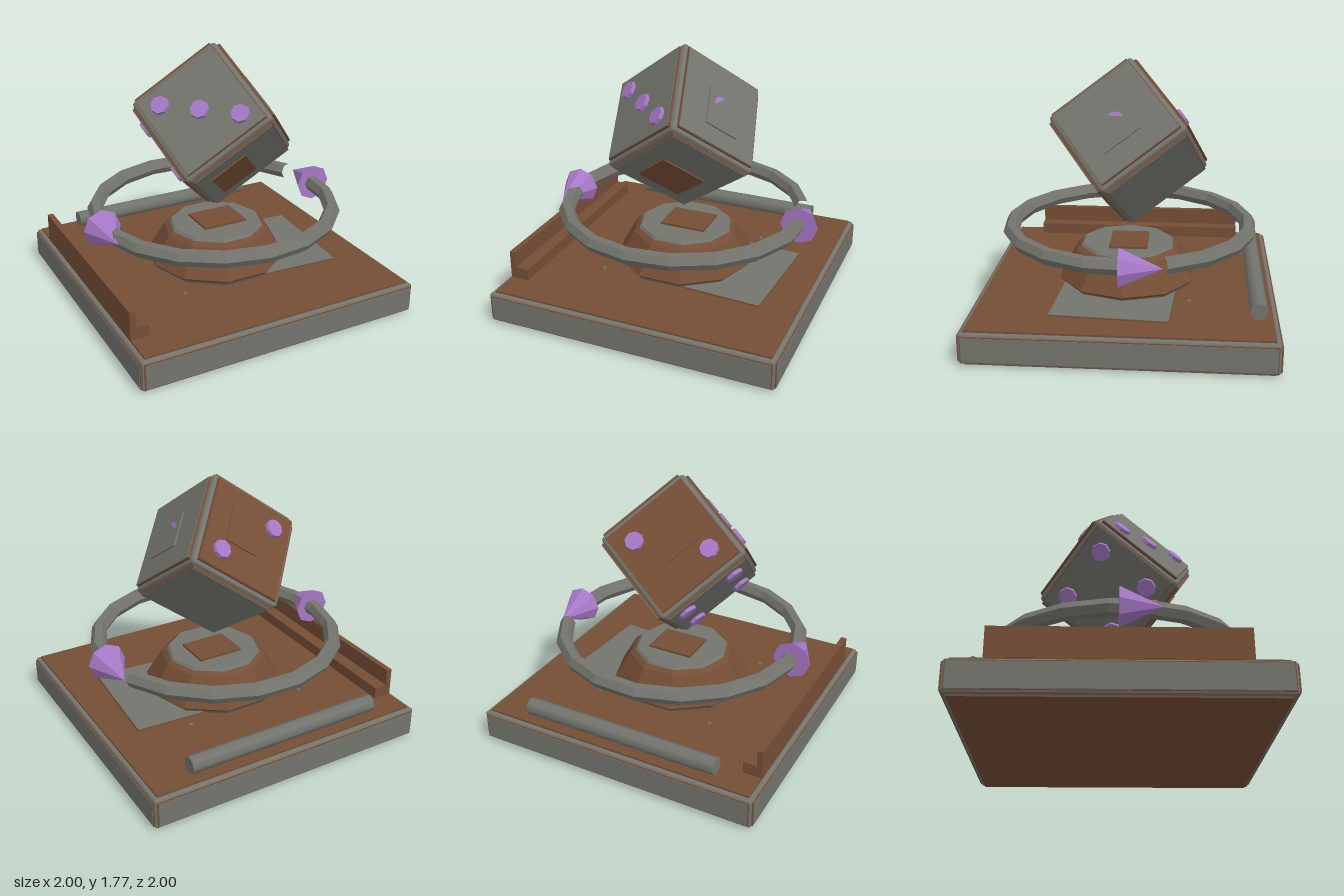
import * as THREE from 'three';
import { RoundedBoxGeometry } from 'three/addons/geometries/RoundedBoxGeometry.js';

const material = (name, color) => {
  const m = new THREE.MeshStandardMaterial({ color });
  m.name = name;
  return m;
};

// Faceted normals for the low-poly parts
function flat(geometry) {
  const g = geometry.index ? geometry.toNonIndexed() : geometry;
  g.computeVertexNormals();
  return g;
}

export function createModel() {
  const grey = material('stone grey', 0x73746d);
  const brown = material('rust brown', 0x754e36);
  const purple = material('purple', 0xa678c6);
  const model = new THREE.Group();

  function add(parent, name, geometry, mat, x = 0, y = 0, z = 0) {
    const mesh = new THREE.Mesh(geometry, mat);
    mesh.name = name;
    mesh.position.set(x, y, z);
    parent.add(mesh);
    return mesh;
  }

  // Point on a box face: axis and sign choose the face, u and v run across it
  function facePoint(axis, sign, u, v, dist) {
    const p = [u, v];
    p.splice(axis, 0, sign * dist);
    return p;
  }

  // Thin slab lying on a box face, from depth d0 to d1
  function slab(parent, name, mat, axis, sign, u, v, w, h, d0, d1) {
    const size = [w, h];
    size.splice(axis, 0, d1 - d0);
    add(parent, name, new THREE.BoxGeometry(...size), mat,
      ...facePoint(axis, sign, u, v, (d0 + d1) / 2));
  }

  // Base: bevelled block with a slab on each face
  const base = new THREE.Group();
  base.name = 'base';
  base.position.y = 0.115;
  model.add(base);
  add(base, 'baseBlock', flat(new RoundedBoxGeometry(1.98, 0.206, 1.98, 1, 0.018)), grey);
  for (const s of [-1, 1]) {
    slab(base, 'basePlate', brown, 1, s, 0, 0, 1.92, 1.92, 0.09, 0.115);
    slab(base, 'sideTrim', brown, 0, s, 0, 0, 0.175, 1.95, 0.97, 0.996);
    slab(base, 'sidePanel', grey, 0, s, 0, 0, 0.163, 1.938, 0.97, 1);
    slab(base, 'frontBackTrim', brown, 2, s, 0, 0, 1.95, 0.175, 0.97, 0.996);
    slab(base, 'frontBackPanel', grey, 2, s, 0, 0, 1.938, 0.163, 0.97, 1);
  }

  // Floor sheet, turned slightly
  const sheet = new THREE.Group();
  sheet.name = 'floorSheet';
  sheet.position.set(0.31, 0.23, 0.06);
  sheet.rotation.y = -0.06;
  model.add(sheet);
  add(sheet, 'sheetEdge', new THREE.BoxGeometry(0.86, 0.008, 0.78), brown, 0, 0.004, 0);
  add(sheet, 'sheetTop', new THREE.BoxGeometry(0.85, 0.004, 0.77), grey, 0, 0.008, 0);
  for (const x of [-0.43, 0.43]) for (const z of [-0.42, 0.42])
    add(model, 'screw', flat(new THREE.CylinderGeometry(0.013, 0.013, 0.014, 6)), grey, x, 0.236, z);

  // L-shaped rail
  const rail = new THREE.Shape([[0, 0], [0.13, 0], [0.13, 0.08], [0.04, 0.08], [0.04, 0.195], [0, 0.195]]
    .map(([x, y]) => new THREE.Vector2(x, y)));
  add(model, 'rail', new THREE.ExtrudeGeometry(rail, { depth: 1.53, bevelEnabled: false }),
    brown, -0.963, 0.23, -0.77);

  // Rod at the back
  const rod = new THREE.CylinderGeometry(0.058, 0.058, 1.39, 8);
  rod.rotateZ(Math.PI / 2);
  add(model, 'rod', rod, grey, -0.005, 0.292, -0.865);

  // Pedestal: stacked ten-sided rings, [name, top radius, bottom radius, y0, y1]
  const rings = [
    ['pedestalFoot', 0.465, 0.45, 0.23, 0.252, grey],
    ['pedestalLip', 0.48, 0.465, 0.252, 0.268, brown],
    ['pedestalBody', 0.365, 0.48, 0.268, 0.46, brown],
    ['pedestalShoulder', 0.33, 0.365, 0.46, 0.485, brown],
    ['pedestalCap', 0.315, 0.33, 0.485, 0.502, grey],
  ];
  for (const [name, top, bottom, y0, y1, mat] of rings) {
    const g = new THREE.CylinderGeometry(top, bottom, y1 - y0, 10);
    g.rotateY(Math.PI / 2);
    add(model, name, flat(g), mat, 0.01, (y0 + y1) / 2, 0.015);
  }
  add(model, 'pedestalPlate', new THREE.BoxGeometry(0.32, 0.02, 0.26), brown, 0.03, 0.507, 0);

  // Ring in two arcs, with an arrowhead on each side: [start degrees, segments]
  for (const [start, count] of [[-4, 9], [164.9, 9]]) {
    const step = THREE.MathUtils.degToRad(19.5);
    const g = new THREE.TorusGeometry(0.82, 0.055, 6, count, step * count);
    g.rotateZ(THREE.MathUtils.degToRad(start));
    g.rotateX(Math.PI / 2);
    add(model, 'ringArc', flat(g), grey, 0, 0.62, 0);
  }
  for (const s of [-1, 1]) {
    const g = new THREE.ConeGeometry(0.13, 0.27, 8);
    g.rotateX(-s * Math.PI / 2);
    add(model, 'arrowhead', flat(g), purple, s * 0.825, 0.62, -s * 0.13);
  }

  // Cube balanced on a corner: each axis rises equally, 120 degrees apart
  const dice = new THREE.Group();
  dice.name = 'cube';
  const axes = [15, 255, 135].map((deg) => {
    const a = THREE.MathUtils.degToRad(deg);
    const r = Math.sqrt(2 / 3);
    return new THREE.Vector3(r * Math.cos(a), Math.sqrt(1 / 3), r * Math.sin(a));
  });
  dice.quaternion.setFromRotationMatrix(new THREE.Matrix4().makeBasis(...axes));
  dice.position.y = 1.2;
  model.add(dice);
  add(dice, 'cubeBody', flat(new RoundedBoxGeometry(0.68, 0.68, 0.68, 1, 0.025)), grey);
  for (let axis = 0; axis < 3; axis++) for (const s of [-1, 1]) {
    slab(dice, 'faceTrim', brown, axis, s, 0, 0, 0.62, 0.62, 0.32, 0.355);
    const mat = axis === 1 && s === 1 ? brown : grey;
    slab(dice, 'facePanel', mat, axis, s, 0, 0, 0.61, 0.61, 0.32, 0.36);
  }

  // Small plates on three faces
  slab(dice, 'sidePlate', grey, 0, 1, -0.04, -0.02, 0.28, 0.26, 0.35, 0.37);
  slab(dice, 'backPlate', brown, 1, 1, 0.04, 0.04, 0.24, 0.26, 0.35, 0.368);
  slab(dice, 'frontPlate', brown, 1, -1, -0.08, 0, 0.27, 0.35, 0.35, 0.37);

  // Round pips: [axis, sign, u, v]
  const q = 0.19, t = 0.172;
  const pips = [
    [2, 1, -q, q], [2, 1, 0, 0], [2, 1, q, -q],
    [1, 1, t, -t], [1, 1, -t, t],
    [0, -1, q, q], [0, -1, q, -q], [0, -1, -q, q], [0, -1, -q, -q],
  ];
  for (const [axis, sign, u, v] of pips) {
    const g = new THREE.CylinderGeometry(0.06, 0.066, 0.03, 8);
    if (axis === 0) g.rotateZ(-sign * Math.PI / 2);
    if (axis === 2) g.rotateX(sign * Math.PI / 2);
    add(dice, 'pip', flat(g), purple, ...facePoint(axis, sign, u, v, 0.368));
  }

  // Half-hidden pip on the side plate
  const sliver = new THREE.Shape();
  sliver.absarc(0, 0, 0.062, Math.PI * 0.42, Math.PI * 1.08, false);
  const sliverGeometry = new THREE.ShapeGeometry(sliver, 4);
  sliverGeometry.rotateY(Math.PI / 2);
  add(dice, 'pipSliver', sliverGeometry, purple, 0.373, 0, 0);

  return model;
}
